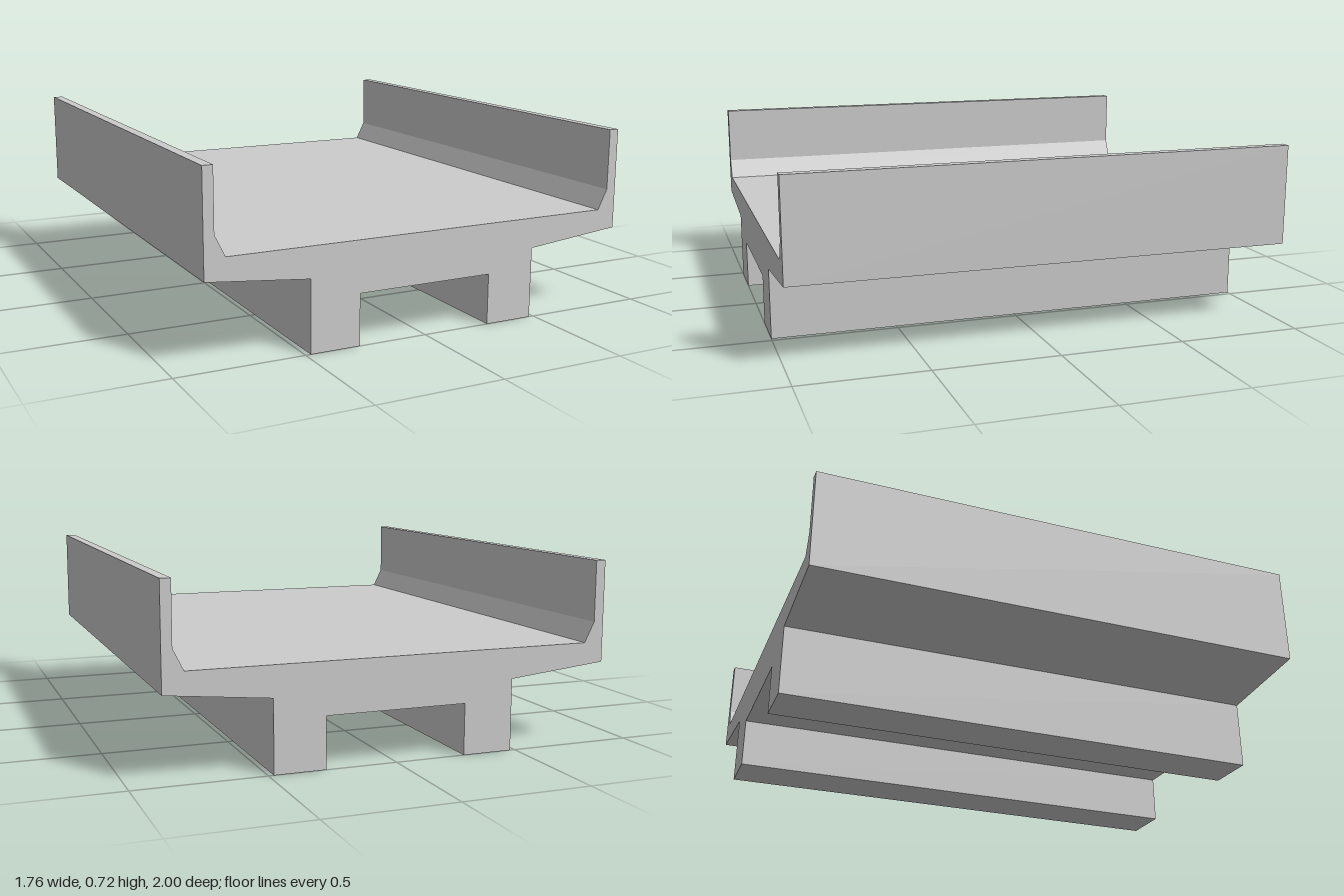
import * as THREE from 'three';

const LENGTH = 2;

export function createModel() {
  const group = new THREE.Group();
  group.name = 'bridgeDeckSection';

  // Left half of the cross-section, from the underside centre to the deck edge
  const half = [
    [0.28, 0.2], [0.28, 0], [0.48, 0], [0.48, 0.28], // girder leg
    [0.88, 0.32], [0.88, 0.72], // sloped cantilever and outer parapet face
    [0.84, 0.72], [0.84, 0.48], [0.8, 0.4], // parapet top, inner face, kerb bevel
  ];
  const mirrored = half.map(([x, y]) => [-x, y]).reverse();
  const outline = [...half, ...mirrored].map(([x, y]) => new THREE.Vector2(x, y));

  // Whole trough extruded along z
  const geometry = new THREE.ExtrudeGeometry(new THREE.Shape(outline), {
    depth: LENGTH,
    bevelEnabled: false,
  });
  geometry.translate(0, 0, -LENGTH / 2);

  const material = new THREE.MeshStandardMaterial({ color: 0xcccccc, flatShading: true });
  const deck = new THREE.Mesh(geometry, material);
  deck.name = 'deckWithGirdersAndParapets';
  group.add(deck);
  return group;
}
